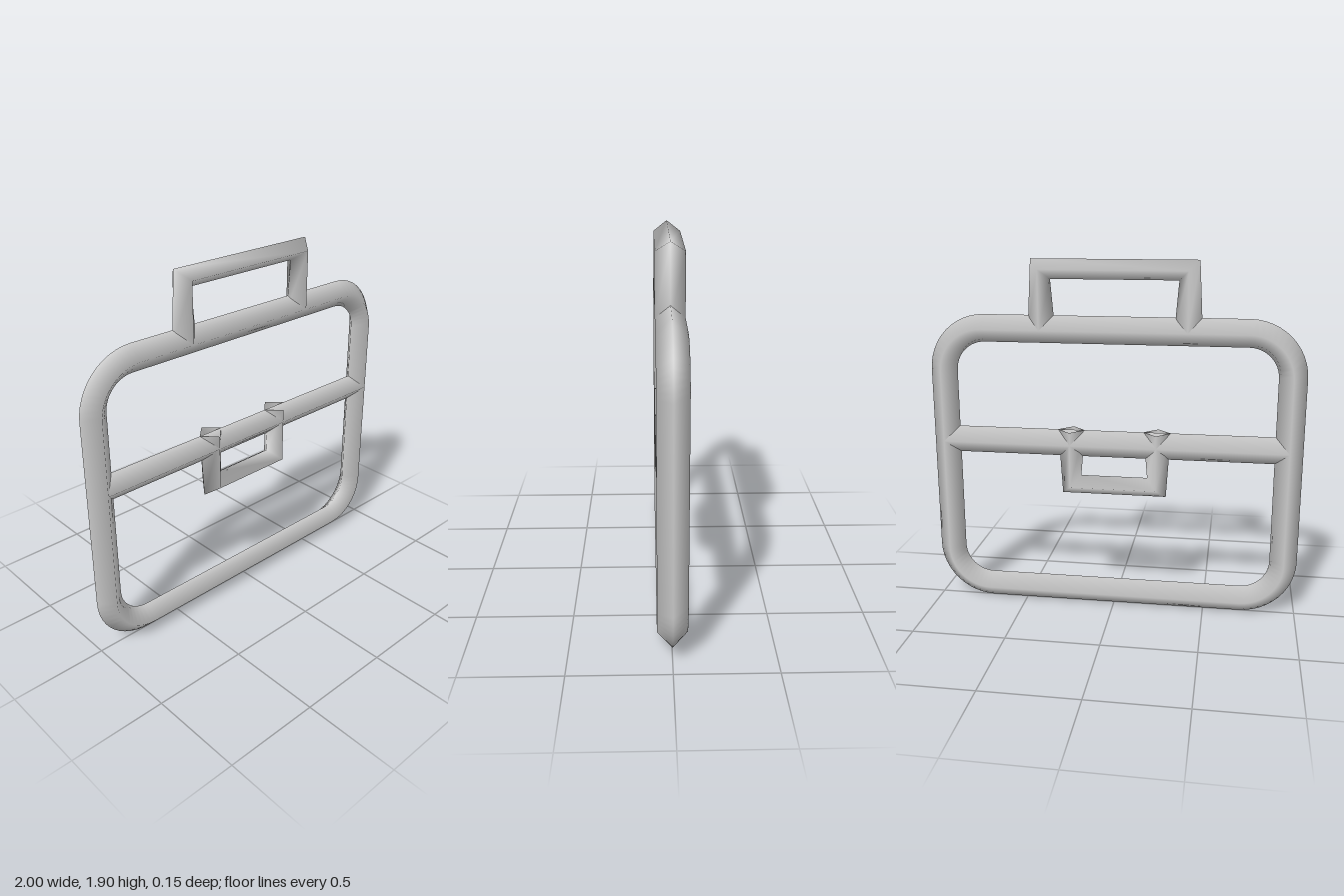
import * as THREE from 'three';

const R = 0.073; // half-width of the four-sided tube

// Sweeps a smooth-shaded diamond section along a path in the XY plane, with bisected corners.
function sweep(points, closed = false) {
  const n = points.length;
  const dir = (a, b) => new THREE.Vector2().subVectors(points[b], points[a]).normalize();
  const rings = closed ? n + 1 : n;
  const pos = [], nor = [], idx = [];
  for (let k = 0; k < rings; k++) {
    const i = k % n;
    const t = new THREE.Vector2();
    if (closed || i > 0) t.add(dir((i + n - 1) % n, i));
    if (closed || i < n - 1) t.add(dir(i, (i + 1) % n));
    t.normalize();
    for (let j = 0; j < 4; j++) {
      const c = [1, 0, -1, 0][j], s = [0, 1, 0, -1][j];
      const v = [t.y * c, -t.x * c, s];
      nor.push(...v);
      pos.push(points[i].x + v[0] * R, points[i].y + v[1] * R, v[2] * R);
    }
  }
  for (let k = 0; k < rings - 1; k++) {
    for (let j = 0; j < 4; j++) {
      const a = k * 4 + j, b = k * 4 + (j + 1) % 4;
      idx.push(a, a + 4, b, b, a + 4, b + 4);
    }
  }
  const g = new THREE.BufferGeometry();
  g.setAttribute('position', new THREE.Float32BufferAttribute(pos, 3));
  g.setAttribute('normal', new THREE.Float32BufferAttribute(nor, 3));
  g.setIndex(idx);
  return g;
}

// Centre line of a rounded rectangle, clockwise from the upper left.
function roundedLoop(x, y0, y1, r, steps = 12) {
  const corners = [
    [x - r, y1 - r, Math.PI / 2], [x - r, y0 + r, 0],
    [-x + r, y0 + r, -Math.PI / 2], [-x + r, y1 - r, -Math.PI],
  ];
  const pts = [];
  for (const [cx, cy, start] of corners) {
    for (let i = 0; i <= steps; i++) {
      const a = start - (i / steps) * Math.PI / 2;
      pts.push(new THREE.Vector2(cx + r * Math.cos(a), cy + r * Math.sin(a)));
    }
  }
  return pts;
}

export function createModel() {
  const group = new THREE.Group();
  group.name = 'briefcase';
  const grey = new THREE.MeshStandardMaterial({ color: 0xcccccc, side: THREE.DoubleSide });
  grey.name = 'light grey';

  const add = (name, geometry) => {
    const mesh = new THREE.Mesh(geometry, grey);
    mesh.name = name;
    group.add(mesh);
  };
  const path = (...p) => p.map(([x, y]) => new THREE.Vector2(x, y));

  // Rounded outline of the case
  add('frame', sweep(roundedLoop(0.927, 0.073, 1.541, 0.23), true));
  // Bar across the middle
  add('crossbar', sweep(path([-0.927, 0.927], [0.927, 0.927])));
  // Carrying handle on top
  add('handle', sweep(path([-0.386, 1.541], [-0.386, 1.853], [0.386, 1.853], [0.386, 1.541])));
  // Clasp hanging from the bar, its ends reaching the bar's top
  add('clasp', sweep(path([-0.232, 1.0], [-0.232, 0.694], [0.232, 0.694], [0.232, 1.0])));

  return group;
}
